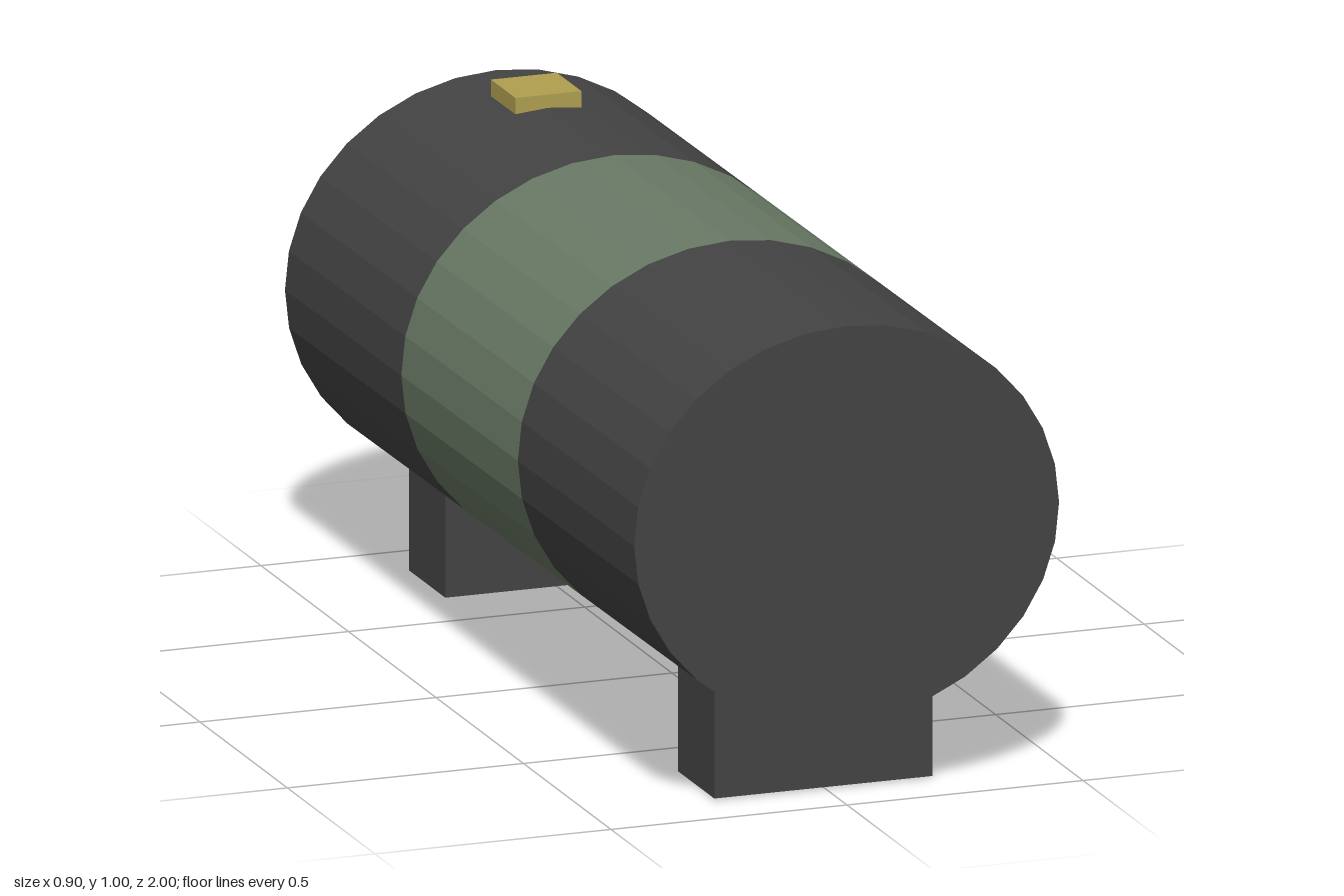
import * as THREE from 'three';

const RX = 0.45, RY = 0.409, HALF = 0.998, BAND = 0.333, SIDES = 32;

function material(name, color) {
  const m = new THREE.MeshStandardMaterial({ color, flatShading: true });
  m.name = name;
  return m;
}

export function createModel() {
  const dark = material('charcoal', 0x444444);
  const green = material('sage green', 0x6a7a66);
  const brass = material('brass', 0xb09f50);

  const model = new THREE.Group();
  model.name = 'tank';

  const add = (parent, name, geometry, mat, x = 0, y = 0, z = 0) => {
    const mesh = new THREE.Mesh(geometry, mat);
    mesh.name = name;
    mesh.position.set(x, y, z);
    parent.add(mesh);
    return mesh;
  };

  // Oval barrel, tilted slightly up towards the front
  const barrel = new THREE.Group();
  barrel.name = 'barrel';
  barrel.position.y = 0.573;
  barrel.rotation.x = -0.0075;
  model.add(barrel);

  const shell = (name, z0, z1, mat) => {
    const g = new THREE.CylinderGeometry(1, 1, z1 - z0, SIDES, 1, true);
    g.rotateX(Math.PI / 2).scale(RX, RY, 1);
    add(barrel, name, g, mat, 0, 0, (z0 + z1) / 2);
  };
  shell('frontShell', BAND, HALF, dark);
  shell('middleBand', -BAND, BAND, green);
  shell('rearShell', -HALF, -BAND, dark);

  // Flat end caps
  for (const [name, s] of [['frontCap', 1], ['rearCap', -1]]) {
    const g = new THREE.CircleGeometry(1, SIDES).scale(RX, RY, 1);
    if (s < 0) g.rotateY(Math.PI);
    add(barrel, name, g, dark, 0, 0, s * HALF);
  }

  // Support blocks, reaching up into the barrel
  for (const [name, z, bottom] of [['frontSupport', 0.775, 0.004], ['rearSupport', -0.762, 0]]) {
    const h = 0.26 - bottom;
    add(model, name, new THREE.BoxGeometry(0.462, h, 0.207), dark, -0.005, bottom + h / 2, z);
  }

  // Filler cap on top near the rear
  add(model, 'fillerCap', new THREE.BoxGeometry(0.14, 0.044, 0.14), brass, 0, 0.982, -0.776);

  return model;
}
